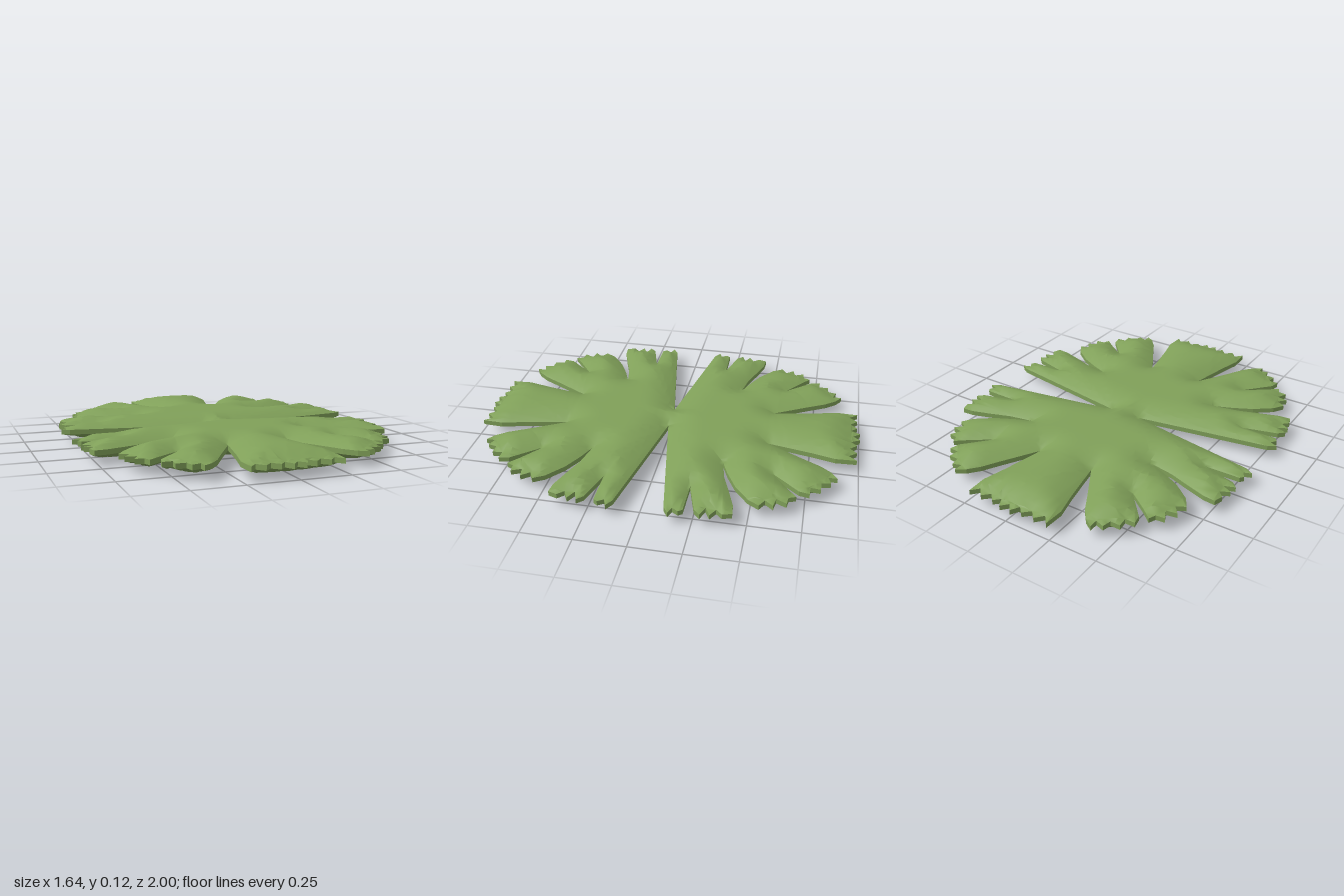
import * as THREE from 'three';
import { mergeVertices } from 'three/addons/utils/BufferGeometryUtils.js';

const MID = 0.0625;   // height of the leaf's middle plane
const EDGE = 0.0125;  // half thickness at the rim
const BULGE = 0.049;  // extra half thickness inside
const SOFT = 0.17;    // distance over which the bulge rises
const CELL = 0.04;    // size of the surface grid

// One quarter of the outline (x, z), from the side slot round to the end lobe
const QUARTER = [
  [0.085, 0],
  // slot edge and narrow first lobe
  [0.78, 0.12], [0.82, 0.145], [0.78, 0.16], [0.8, 0.19], [0.785, 0.21], [0.6, 0.212],
  // second lobe
  [0.775, 0.26], [0.805, 0.29], [0.75, 0.31], [0.8, 0.335], [0.755, 0.36], [0.785, 0.39],
  [0.77, 0.435], [0.71, 0.43], [0.6, 0.395], [0.5, 0.36], [0.37, 0.335],
  // third lobe
  [0.46, 0.37], [0.56, 0.42], [0.65, 0.49], [0.685, 0.545], [0.64, 0.57], [0.675, 0.61],
  [0.62, 0.62], [0.645, 0.67], [0.6, 0.675], [0.585, 0.71], [0.53, 0.665], [0.42, 0.585],
  // fourth lobe
  [0.5, 0.675], [0.54, 0.72], [0.55, 0.77], [0.5, 0.77], [0.505, 0.82], [0.455, 0.82],
  [0.445, 0.865], [0.4, 0.85], [0.4, 0.895], [0.355, 0.865], [0.31, 0.81], [0.26, 0.72], [0.155, 0.54],
  // half of the end lobe
  [0.175, 0.64], [0.2, 0.76], [0.23, 0.88], [0.225, 0.985], [0.19, 0.945], [0.155, 0.985],
  [0.12, 0.95], [0.085, 0.985], [0.055, 0.955], [0.03, 1], [0, 0.965],
];

// Mirror the quarter into a closed outline
function makeOutline() {
  const half = [...QUARTER, ...QUARTER.slice(0, -1).reverse().map(([x, z]) => [-x, z])];
  const other = half.slice(1, -1).reverse().map(([x, z]) => [x, -z]);
  return [...half, ...other].map(([x, z]) => new THREE.Vector2(x, z));
}

function distanceToOutline(p, outline) {
  let best = Infinity;
  outline.forEach((a, i) => {
    const b = outline[(i + 1) % outline.length];
    const dx = b.x - a.x, dy = b.y - a.y;
    const t = THREE.MathUtils.clamp(((p.x - a.x) * dx + (p.y - a.y) * dy) / (dx * dx + dy * dy), 0, 1);
    best = Math.min(best, Math.hypot(p.x - a.x - t * dx, p.y - a.y - t * dy));
  });
  return best;
}

// Keep the part of a polygon where sign * (axis - value) >= 0
function clip(poly, axis, value, sign) {
  const out = [];
  poly.forEach((a, i) => {
    const b = poly[(i + 1) % poly.length];
    const da = sign * (a[axis] - value), db = sign * (b[axis] - value);
    if (da >= 0) out.push(a);
    if ((da > 0 && db < 0) || (da < 0 && db > 0)) out.push(a.clone().lerp(b, da / (da - db)));
  });
  return out;
}

// Cut a polygon into strips along one axis
function slice(poly, axis) {
  const values = poly.map((p) => p[axis]);
  const first = Math.floor(Math.min(...values) / CELL), last = Math.ceil(Math.max(...values) / CELL);
  const strips = [];
  for (let k = first; k < last; k++) {
    const strip = clip(clip(poly, axis, k * CELL, 1), axis, (k + 1) * CELL, -1);
    if (strip.length > 2) strips.push(strip);
  }
  return strips;
}

// Domed face of the leaf: side 1 is the top, -1 the underside
function faceGeometry(outline, side) {
  const positions = [];
  const add = (p) => {
    const d = Math.min(distanceToOutline(p, outline) / SOFT, 1);
    positions.push(p.x, MID + side * (EDGE + BULGE * (1 - (1 - d) ** 2)), p.y);
  };
  for (const tri of THREE.ShapeUtils.triangulateShape(outline, [])) {
    const cells = slice(tri.map((i) => outline[i]), 'x').flatMap((s) => slice(s, 'y'));
    for (const cell of cells) {
      for (let i = 1; i < cell.length - 1; i++) {
        const [a, b, c] = [cell[0], cell[i], cell[i + 1]];
        const area = (b.x - a.x) * (c.y - a.y) - (b.y - a.y) * (c.x - a.x);
        if (Math.abs(area) < 1e-9) continue;
        (area * side < 0 ? [a, b, c] : [a, c, b]).forEach(add);
      }
    }
  }
  const geometry = new THREE.BufferGeometry();
  geometry.setAttribute('position', new THREE.Float32BufferAttribute(positions, 3));
  const merged = mergeVertices(geometry, 1e-5);
  merged.computeVertexNormals();
  return merged;
}

// Thin upright band round the outline
function rimGeometry(outline) {
  const positions = [];
  const lo = MID - EDGE, hi = MID + EDGE;
  const ring = THREE.ShapeUtils.isClockWise(outline) ? [...outline].reverse() : outline;
  ring.forEach((a, i) => {
    const b = ring[(i + 1) % ring.length];
    positions.push(a.x, lo, a.y, a.x, hi, a.y, b.x, hi, b.y);
    positions.push(a.x, lo, a.y, b.x, hi, b.y, b.x, lo, b.y);
  });
  const geometry = new THREE.BufferGeometry();
  geometry.setAttribute('position', new THREE.Float32BufferAttribute(positions, 3));
  geometry.computeVertexNormals();
  return geometry;
}

export function createModel() {
  const leafGreen = new THREE.MeshStandardMaterial({ color: 0x80a059 });
  leafGreen.name = 'leafGreen';
  const outline = makeOutline();
  const group = new THREE.Group();
  group.name = 'lobedLeaf';
  const parts = {
    leafTop: faceGeometry(outline, 1),
    leafUnderside: faceGeometry(outline, -1),
    leafRim: rimGeometry(outline),
  };
  for (const [name, geometry] of Object.entries(parts)) {
    const mesh = new THREE.Mesh(geometry, leafGreen);
    mesh.name = name;
    group.add(mesh);
  }
  return group;
}
